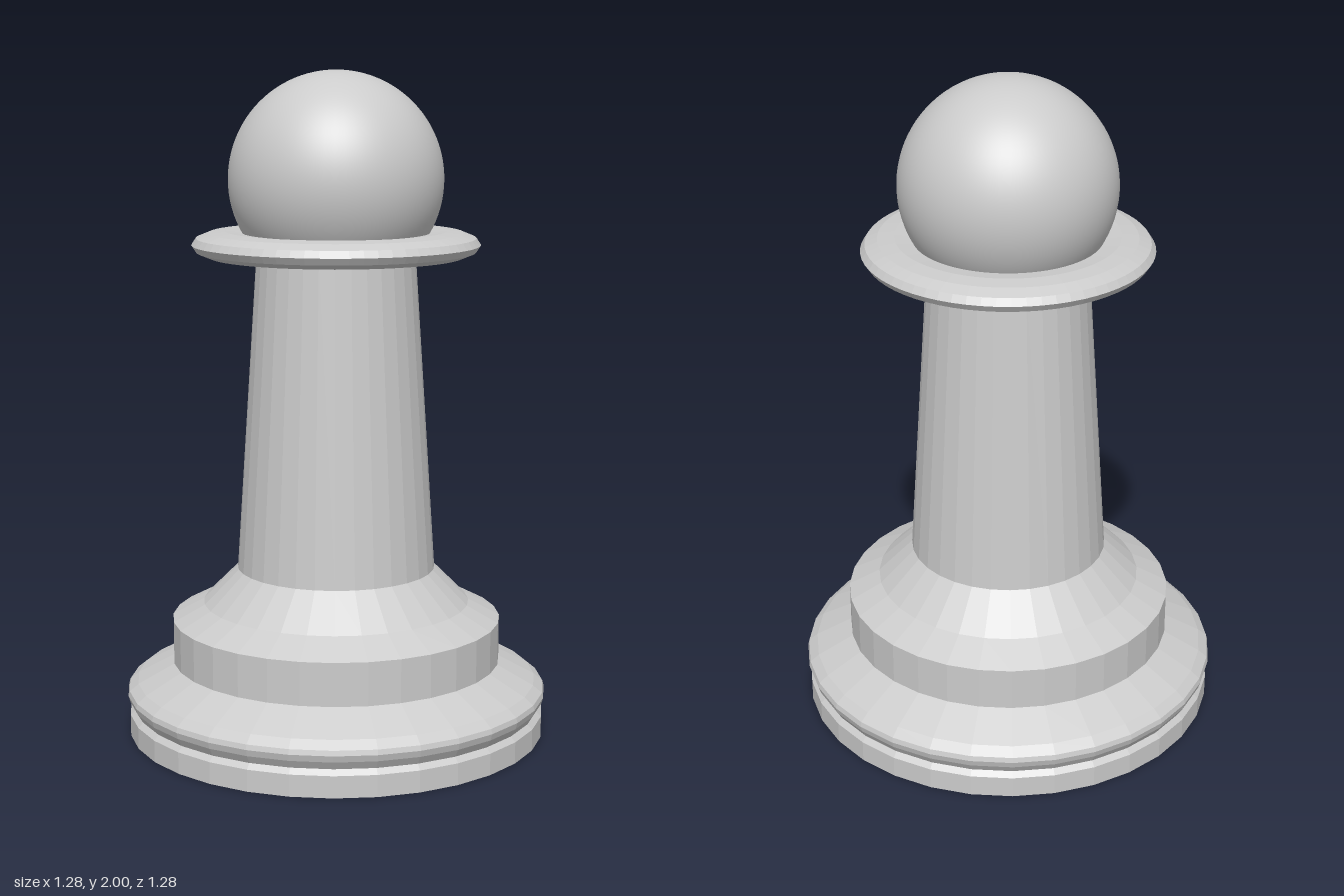
import * as THREE from 'three';

const SIDES = 32;

export function createModel() {
  const group = new THREE.Group();
  const faceted = new THREE.MeshStandardMaterial({ color: 0xcccccc, flatShading: true });
  const smooth = new THREE.MeshStandardMaterial({ color: 0xcccccc });

  const add = (name, geometry, material, y = 0) => {
    const mesh = new THREE.Mesh(geometry, material);
    mesh.name = name;
    mesh.position.y = y;
    group.add(mesh);
    return mesh;
  };
  // Turned part from [radius, height] pairs, bottom to top
  const turned = (name, profile) =>
    add(name, new THREE.LatheGeometry(profile.map(([r, y]) => new THREE.Vector2(r, y)), SIDES), faceted);

  // Foot disc, grooved ring and sloping shoulder
  turned('base', [
    [0, 0], [0.635, 0], [0.635, 0.065], [0.62, 0.08], [0.635, 0.105],
    [0.641, 0.125], [0.637, 0.14], [0.61, 0.162], [0.5, 0.22],
  ]);

  // Upper drum with a concave flare up to the stem
  turned('plinth', [[0.5, 0.22], [0.5, 0.35], [0.405, 0.4], [0.3, 0.505]]);

  // Tapered stem, running up inside the collar
  turned('stem', [[0.3, 0.505], [0.238, 1.45], [0.235, 1.5], [0, 1.5]]);

  // Flattened ring under the head
  const ring = new THREE.TorusGeometry(0.33, 0.1, 12, 64);
  ring.rotateX(Math.PI / 2);
  ring.scale(1, 0.41, 1);
  add('collar', ring, faceted, 1.488);

  // Ball head
  add('head', new THREE.SphereGeometry(0.32, 64, 48), smooth, 1.68);

  return group;
}
